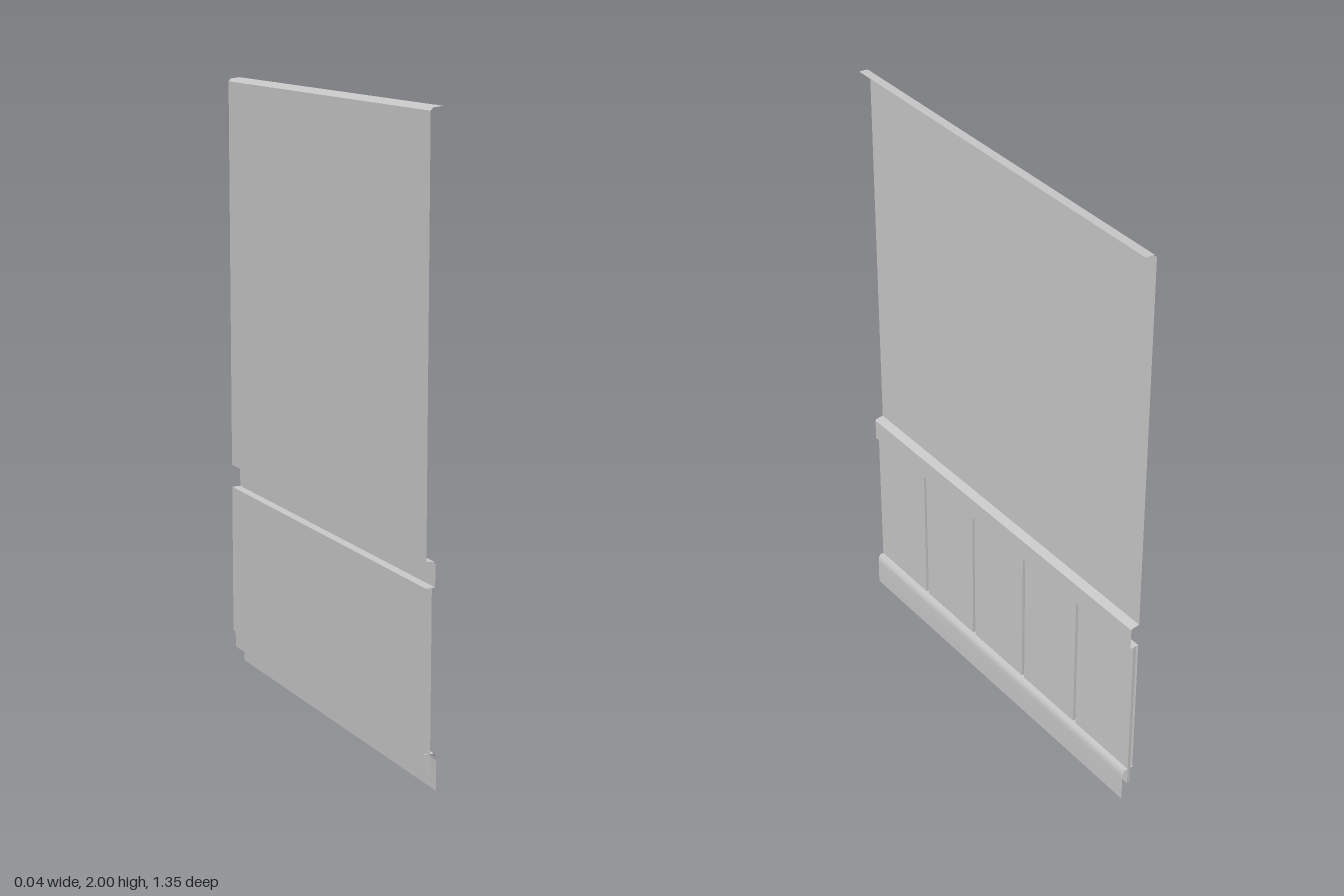
import * as THREE from 'three';

const HALF = 0.675; // half the run of the wall along z
const mat = new THREE.MeshStandardMaterial({ color: 0xcccccc, side: THREE.DoubleSide });

// Sweep an open [x, y] profile, listed from top to bottom, along z as a thin sheet
function sheet(name, profile, smooth = false) {
  const pos = [], index = [];
  profile.forEach(([x, y], i) => {
    pos.push(x, y, HALF, x, y, -HALF);
    if (i < profile.length - 1) {
      const a = i * 2;
      index.push(a, a + 2, a + 1, a + 1, a + 2, a + 3);
    }
  });
  let geo = new THREE.BufferGeometry();
  geo.setAttribute('position', new THREE.Float32BufferAttribute(pos, 3));
  geo.setIndex(index);
  if (!smooth) geo = geo.toNonIndexed();
  geo.computeVertexNormals();
  const mesh = new THREE.Mesh(geo, mat);
  mesh.name = name;
  return mesh;
}

export function createModel() {
  const model = new THREE.Group();
  model.name = 'wallPanel';

  // Upper wall with the lip that projects at its top
  model.add(sheet('topLip', [[0.02, 2.0], [-0.012, 1.997], [-0.02, 1.988]]));
  model.add(sheet('upperWall', [[-0.02, 1.988], [-0.02, 0.7]]));

  // Projecting rail between wall and boards
  model.add(sheet('chairRail', [[-0.02, 0.703], [0.007, 0.7], [0.01, 0.696], [0.01, 0.623], [-0.02, 0.623]]));

  // Sheet behind the boards
  model.add(sheet('backing', [[-0.02, 0.623], [-0.02, 0.115]]));

  // Row of boards separated by narrow gaps
  const boards = new THREE.Group();
  boards.name = 'boards';
  const count = 5, pitch = (2 * HALF) / count, gap = 0.012;
  for (let i = 0; i < count; i++) {
    const z0 = -HALF + i * pitch + (i > 0 ? gap / 2 : 0);
    const z1 = -HALF + (i + 1) * pitch - (i < count - 1 ? gap / 2 : 0);
    const board = new THREE.Mesh(new THREE.BoxGeometry(0.011, 0.568, z1 - z0), mat);
    board.position.set(-0.0065, 0.339, (z0 + z1) / 2);
    board.name = 'board';
    boards.add(board);
  }
  model.add(boards);

  // Skirting with a rounded upper edge
  model.add(sheet('skirtingTop', [[-0.02, 0.118], [0.012, 0.117]]));
  model.add(sheet('skirting', [[0.012, 0.117], [0.017, 0.108], [0.02, 0.09], [0.02, 0]], true));

  return model;
}
